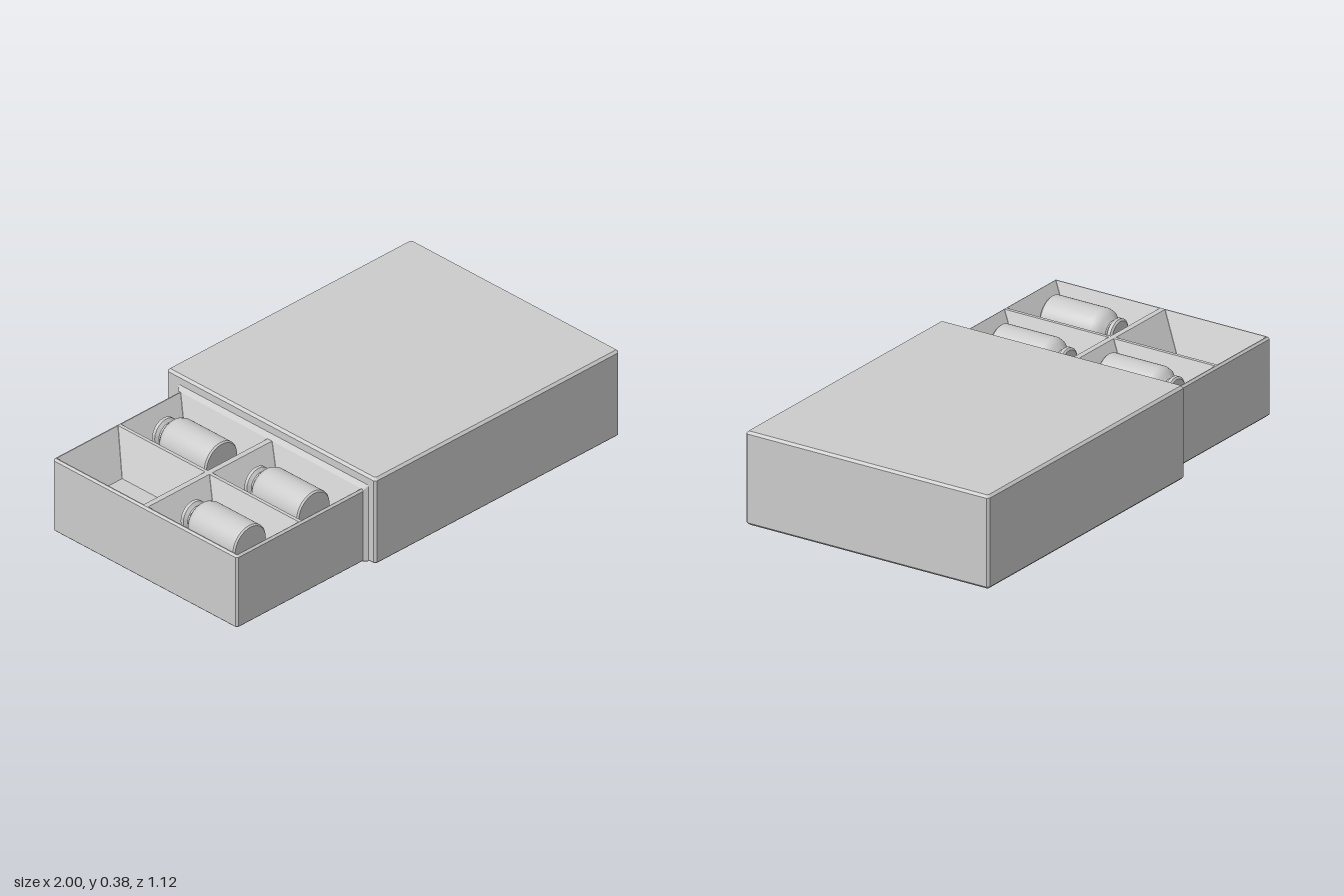
import * as THREE from 'three';
import { toCreasedNormals } from 'three/addons/utils/BufferGeometryUtils.js';

const material = new THREE.MeshStandardMaterial({ color: 0xcccccc });

function addMesh(parent, name, geometry) {
  const mesh = new THREE.Mesh(geometry, material);
  mesh.name = name;
  parent.add(mesh);
  return mesh;
}

// Rectangle with clipped corners, counter-clockwise seen from above
function ring(x0, x1, z0, z1, y, c) {
  return [
    [x1, z1 - c], [x1, z0 + c], [x1 - c, z0], [x0 + c, z0],
    [x0, z0 + c], [x0, z1 - c], [x0 + c, z1], [x1 - c, z1],
  ].map(([x, z]) => [x, y, z]);
}

// Flat walls between successive rings; descending rings face inward
function loft(rings, capStart, capEnd) {
  const pos = [];
  const tri = (a, b, c) => pos.push(...a, ...b, ...c);
  for (let r = 0; r + 1 < rings.length; r++) {
    const a = rings[r], b = rings[r + 1];
    for (let i = 0; i < a.length; i++) {
      const j = (i + 1) % a.length;
      tri(a[i], a[j], b[j]);
      tri(a[i], b[j], b[i]);
    }
  }
  const first = rings[0], last = rings[rings.length - 1];
  for (let i = 1; i + 1 < first.length; i++) {
    if (capStart) tri(first[0], first[i + 1], first[i]);
    if (capEnd) tri(last[0], last[i], last[i + 1]);
  }
  const geometry = new THREE.BufferGeometry();
  geometry.setAttribute('position', new THREE.Float32BufferAttribute(pos, 3));
  geometry.computeVertexNormals();
  return geometry;
}

// Box with chamfered edges, optionally left open at the top
function chamferBox(x0, x1, z0, z1, h, c, topOpen) {
  const inset = (y) => ring(x0 + c, x1 - c, z0 + c, z1 - c, y, c / 2);
  const full = (y) => ring(x0, x1, z0, z1, y, c);
  return loft([inset(0), full(c), full(h - c), inset(h)], true, !topOpen);
}

const TRAY_TOP = 0.325;
const FLOOR = 0.165;
const columns = [
  { x0: -0.988, x1: -0.66, mid: -0.828 },
  { x0: -0.645, x1: -0.325, mid: -0.487 },
];
const rows = [
  { z0: -0.468, z1: -0.002, mid: -0.24 },
  { z0: 0.022, z1: 0.5, mid: 0.26 },
];

function createTray() {
  const tray = new THREE.Group();
  tray.name = 'tray';
  addMesh(tray, 'trayShell', chamferBox(-1, -0.3, -0.48, 0.51, TRAY_TOP, 0.008, true));

  // Rim and dividers: a flat sheet with a hole for each pocket
  const rectangle = (path, x0, x1, z0, z1) => {
    path.moveTo(x0, -z1);
    path.lineTo(x1, -z1);
    path.lineTo(x1, -z0);
    path.lineTo(x0, -z0);
    path.closePath();
    return path;
  };
  const rim = rectangle(new THREE.Shape(), -0.992, -0.308, -0.472, 0.502);

  // Sloping pocket walls down to a flat floor
  for (const { x0, x1, mid: cx } of columns) {
    for (const { z0, z1, mid: cz } of rows) {
      rim.holes.push(rectangle(new THREE.Path(), x0, x1, z0, z1));
      const top = ring(x0, x1, z0, z1, TRAY_TOP, 0.001);
      const floor = ring(cx - 0.092, cx + 0.092, cz - 0.13, cz + 0.13, FLOOR, 0.001);
      addMesh(tray, 'pocket', loft([top, floor], false, true));
    }
  }
  const rimGeometry = new THREE.ShapeGeometry(rim).rotateX(-Math.PI / 2).translate(0, TRAY_TOP, 0);
  addMesh(tray, 'trayRim', rimGeometry);
  return tray;
}

// Vial lying along z, cap toward the back
function createVial() {
  const profile = [
    [0, 0], [0.055, 0], [0.063, 0.006], [0.063, 0.02], [0.05, 0.03], [0.05, 0.036],
    [0.068, 0.05], [0.081, 0.063], [0.0875, 0.082], [0.0875, 0.31], [0.082, 0.317], [0, 0.317],
  ].map(([r, y]) => new THREE.Vector2(r, y));
  const geometry = new THREE.LatheGeometry(profile, 40).rotateX(Math.PI / 2);
  return toCreasedNormals(geometry, 0.5);
}

export function createModel() {
  const model = new THREE.Group();
  model.name = 'slidingBox';

  // Outer sleeve
  addMesh(model, 'sleeve', chamferBox(-0.31, 1, -0.56, 0.56, 0.385, 0.01, false));

  // Flared collar where the tray enters the sleeve
  const collar = loft([
    ring(-0.325, -0.002, -0.48, 0.51, -0.325, 0.004),
    ring(-0.345, -0.002, -0.495, 0.525, -0.309, 0.004),
  ], false, false).rotateZ(-Math.PI / 2);
  addMesh(model, 'sleeveCollar', collar);

  model.add(createTray());

  // Three vials; the outer back pocket stays empty
  const vial = createVial();
  for (const [column, z] of [[0, 0.093], [1, 0.093], [1, -0.402]]) {
    addMesh(model, 'vial', vial).position.set(columns[column].mid, 0.253, z);
  }
  return model;
}
